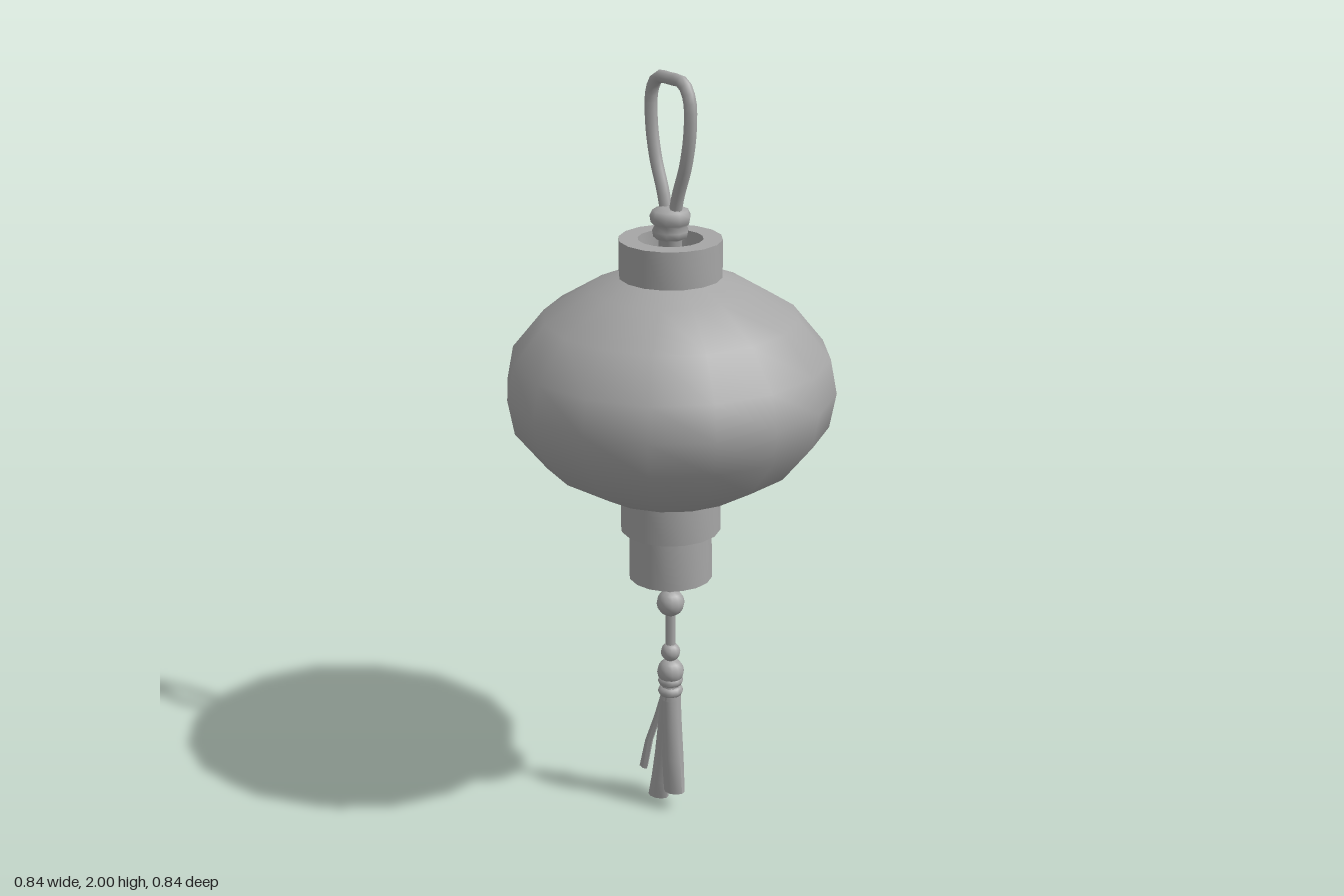
import * as THREE from 'three';
import { toCreasedNormals } from 'three/addons/utils/BufferGeometryUtils.js';

export function createModel() {
  const model = new THREE.Group();
  model.name = 'hangingLantern';
  const grey = new THREE.MeshStandardMaterial({ color: 0xa6a6a6, side: THREE.DoubleSide });
  grey.name = 'grey';

  const add = (name, geometry, x = 0, y = 0, z = 0) => {
    const mesh = new THREE.Mesh(geometry, grey);
    mesh.name = name;
    mesh.position.set(x, y, z);
    model.add(mesh);
    return mesh;
  };
  const lathe = (points, sides = 16) =>
    new THREE.LatheGeometry(points.map(([r, y]) => new THREE.Vector2(r, y)), sides);
  const turned = (points, sides) => toCreasedNormals(lathe(points, sides), 0.6);

  // Squashed round shade
  add('shade', lathe([
    [0.13, 0.91], [0.2, 0.938], [0.322, 1.01], [0.403, 1.11], [0.42, 1.2],
    [0.403, 1.29], [0.322, 1.39], [0.2, 1.464], [0.13, 1.492],
  ]));

  // Collars and open sleeve
  add('topCollar', turned([[0.13, 1.485], [0.13, 1.588], [0.082, 1.588], [0.082, 1.51], [0, 1.51]]));
  add('bottomCollar', turned([[0, 0.83], [0.1, 0.83], [0.1, 0.815], [0.13, 0.815], [0.13, 0.915]]));
  add('sleeve', turned([[0.102, 0.83], [0.102, 0.68], [0.109, 0.68], [0.107, 0.815]]));

  // Hanging loop
  const half = [[0.012, 1.63], [0.03, 1.7], [0.06, 1.78], [0.077, 1.87], [0.074, 1.945], [0.05, 1.98]];
  const path = [
    ...half.map(([x, y]) => new THREE.Vector3(-x, y, 0)),
    new THREE.Vector3(0, 1.984, 0),
    ...half.slice().reverse().map(([x, y]) => new THREE.Vector3(x, y, 0)),
  ];
  add('hangingLoop', new THREE.TubeGeometry(new THREE.CatmullRomCurve3(path), 40, 0.016, 8));

  // Knot under the loop
  add('knot', lathe([
    [0.03, 1.51], [0.03, 1.585], [0.043, 1.592], [0.046, 1.608], [0.04, 1.62],
    [0.049, 1.628], [0.052, 1.645], [0.045, 1.66], [0.02, 1.668], [0, 1.668],
  ], 9));

  // Cord with beads
  add('cord', new THREE.CylinderGeometry(0.013, 0.013, 0.47, 8), 0, 0.605, 0);
  for (const [y, r] of [[0.6, 0.037], [0.457, 0.026], [0.4, 0.036]]) {
    add('bead', new THREE.SphereGeometry(r, 12, 8), 0, y, 0);
  }

  // Binding wraps at the head of the tassel
  for (const y of [0.374, 0.344]) {
    const wrap = add('tasselWrap', new THREE.TorusGeometry(0.019, 0.015, 8, 12), 0, y, 0);
    wrap.rotation.x = Math.PI / 2;
  }
  add('tasselCore', new THREE.CylinderGeometry(0.022, 0.028, 0.07, 10), 0, 0.355, 0);

  // Tapered clump swept through rows of [x, y, z, halfWidth, halfDepth, slant]
  const clump = (name, rows, sides = 10) => {
    const pos = [], index = [];
    for (const [x, y, z, w, d, slant = 0] of rows) {
      for (let i = 0; i < sides; i++) {
        const a = (i / sides) * Math.PI * 2;
        pos.push(x + w * Math.cos(a), y + slant * Math.cos(a), z + d * Math.sin(a));
      }
    }
    for (let j = 0; j < rows.length - 1; j++) {
      for (let i = 0; i < sides; i++) {
        const a = j * sides + i, b = j * sides + ((i + 1) % sides);
        index.push(a, b, a + sides, b, b + sides, a + sides);
      }
    }
    const end = (rows.length - 1) * sides;
    for (let i = 1; i < sides - 1; i++) index.push(end, end + i, end + i + 1);
    const geometry = new THREE.BufferGeometry();
    geometry.setAttribute('position', new THREE.Float32BufferAttribute(pos, 3));
    geometry.setIndex(index);
    geometry.computeVertexNormals();
    add(name, toCreasedNormals(geometry, 0.8));
  };

  // Tassel: two broad clumps and loose strands to one side
  clump('tasselRight', [
    [0.002, 0.34, 0, 0.027, 0.026], [0.006, 0.25, 0, 0.028, 0.027],
    [0.012, 0.15, 0.002, 0.034, 0.027], [0.022, 0.05, 0.004, 0.034, 0.024, 0.004],
  ]);
  clump('tasselLeft', [
    [-0.004, 0.34, 0, 0.025, 0.024], [-0.012, 0.25, 0, 0.027, 0.025],
    [-0.025, 0.14, 0, 0.031, 0.025], [-0.038, 0.06, 0.002, 0.032, 0.024],
    [-0.047, 0.006, 0.006, 0.036, 0.02, 0.006],
  ]);
  clump('looseStrandOuter', [
    [-0.018, 0.335, 0.004, 0.009, 0.01], [-0.048, 0.25, 0.006, 0.01, 0.01],
    [-0.085, 0.16, 0.008, 0.011, 0.011], [-0.108, 0.07, 0.01, 0.014, 0.01, -0.003],
  ], 6);
  clump('looseStrandInner', [
    [-0.016, 0.335, -0.008, 0.008, 0.009], [-0.04, 0.25, -0.01, 0.009, 0.01],
    [-0.062, 0.16, -0.012, 0.01, 0.01], [-0.078, 0.06, -0.014, 0.012, 0.01, -0.003],
  ], 6);

  return model;
}
